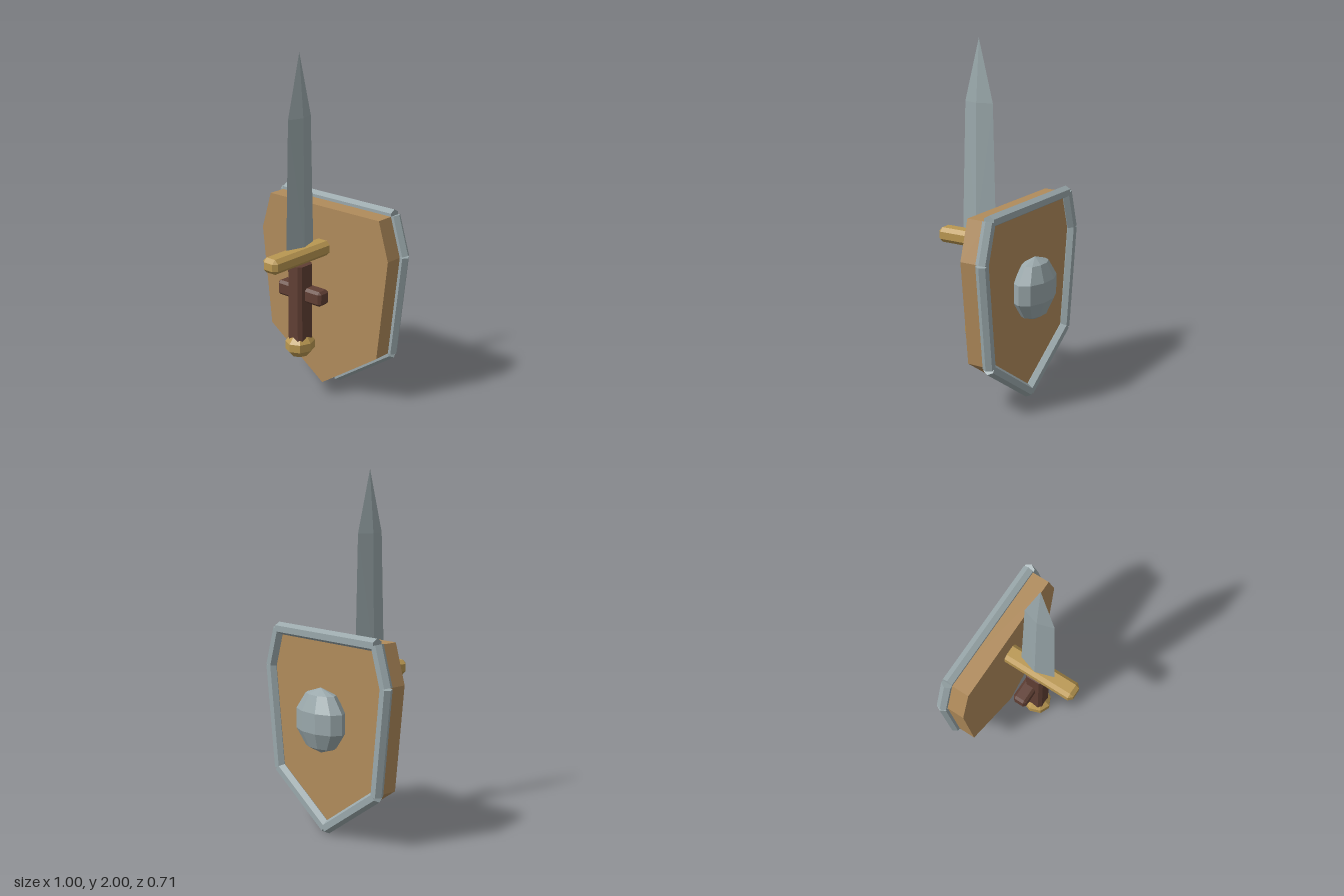
import * as THREE from 'three';
import { ConvexGeometry } from 'three/addons/geometries/ConvexGeometry.js';

function material(name, color) {
  const m = new THREE.MeshStandardMaterial({ color, flatShading: true });
  m.name = name;
  return m;
}

// Box centred on the origin with bevelled edges; b is the bevel per axis
function chamferBox(hx, hy, hz, bx, by = bx, bz = bx) {
  const pts = [];
  for (const sx of [-1, 1]) for (const sy of [-1, 1]) for (const sz of [-1, 1]) {
    pts.push(
      new THREE.Vector3(sx * hx, sy * (hy - by), sz * (hz - bz)),
      new THREE.Vector3(sx * (hx - bx), sy * hy, sz * (hz - bz)),
      new THREE.Vector3(sx * (hx - bx), sy * (hy - by), sz * hz)
    );
  }
  return new ConvexGeometry(pts);
}

export function createModel() {
  const model = new THREE.Group();
  model.name = 'swordAndShield';
  const steel = material('steel', 0x9aa8ab);
  const wood = material('wood', 0xb08b5b);
  const brass = material('brass', 0xb99751);
  const leather = material('leather', 0x603f34);

  function add(parent, name, geometry, mat, x = 0, y = 0, z = 0) {
    const mesh = new THREE.Mesh(geometry, mat);
    mesh.name = name;
    mesh.position.set(x, y, z);
    parent.add(mesh);
    return mesh;
  }

  // Shield board
  const shield = new THREE.Group();
  shield.name = 'shield';
  model.add(shield);
  const half = [[0.4, 1.11], [0.467, 0.89], [0.4, 0.3]];
  const outline = [
    ...half, [0, 0.03], ...half.map(([x, y]) => [-x, y]).reverse()
  ].map(([x, y]) => new THREE.Vector2(x, y));
  const board = new THREE.ExtrudeGeometry(new THREE.Shape(outline), { depth: 0.13, bevelEnabled: false });
  add(shield, 'shieldBoard', board, wood, 0, 0, -0.22);

  // Hexagonal rim bars, one along each edge
  outline.forEach((a, i) => {
    const b = outline[(i + 1) % outline.length];
    const bar = new THREE.CylinderGeometry(0.035, 0.035, a.distanceTo(b), 6).rotateY(Math.PI / 2);
    const mesh = add(shield, 'rimBar', bar, steel, (a.x + b.x) / 2, (a.y + b.y) / 2, -0.225);
    mesh.rotation.z = Math.atan2(b.y - a.y, b.x - a.x) - Math.PI / 2;
  });

  // Domed boss on the outer face
  const boss = new THREE.SphereGeometry(0.182, 10, 5).scale(1, 1, 0.55);
  add(shield, 'shieldBoss', boss, steel, 0, 0.65, -0.265);

  // Shield handle
  add(shield, 'shieldHandle', chamferBox(0.16, 0.043, 0.043, 0.015), leather, 0, 0.648, 0.075);

  // Sword
  const sword = new THREE.Group();
  sword.name = 'sword';
  sword.position.z = 0.1;
  model.add(sword);

  // Blade with diamond section: [y, half thickness, half width]
  const blade = [new THREE.Vector3(0, 2, 0)];
  for (const [y, t, w] of [[0.927, 0.035, 0.11], [1.65, 0.028, 0.09]]) {
    for (const s of [-1, 1]) blade.push(new THREE.Vector3(s * t, y, 0), new THREE.Vector3(0, y, s * w));
  }
  add(sword, 'blade', new ConvexGeometry(blade), steel);

  // Guard, grip and pommel
  add(sword, 'guard', chamferBox(0.053, 0.043, 0.255, 0.022), brass, 0, 0.872, 0);
  add(sword, 'grip', chamferBox(0.052, 0.225, 0.058, 0.018, 0.002, 0.018), leather, 0, 0.6, 0);
  const pommel = new THREE.SphereGeometry(1, 8, 5).scale(0.083, 0.075, 0.094);
  add(sword, 'pommel', pommel, brass, 0, 0.34, 0);

  return model;
}
